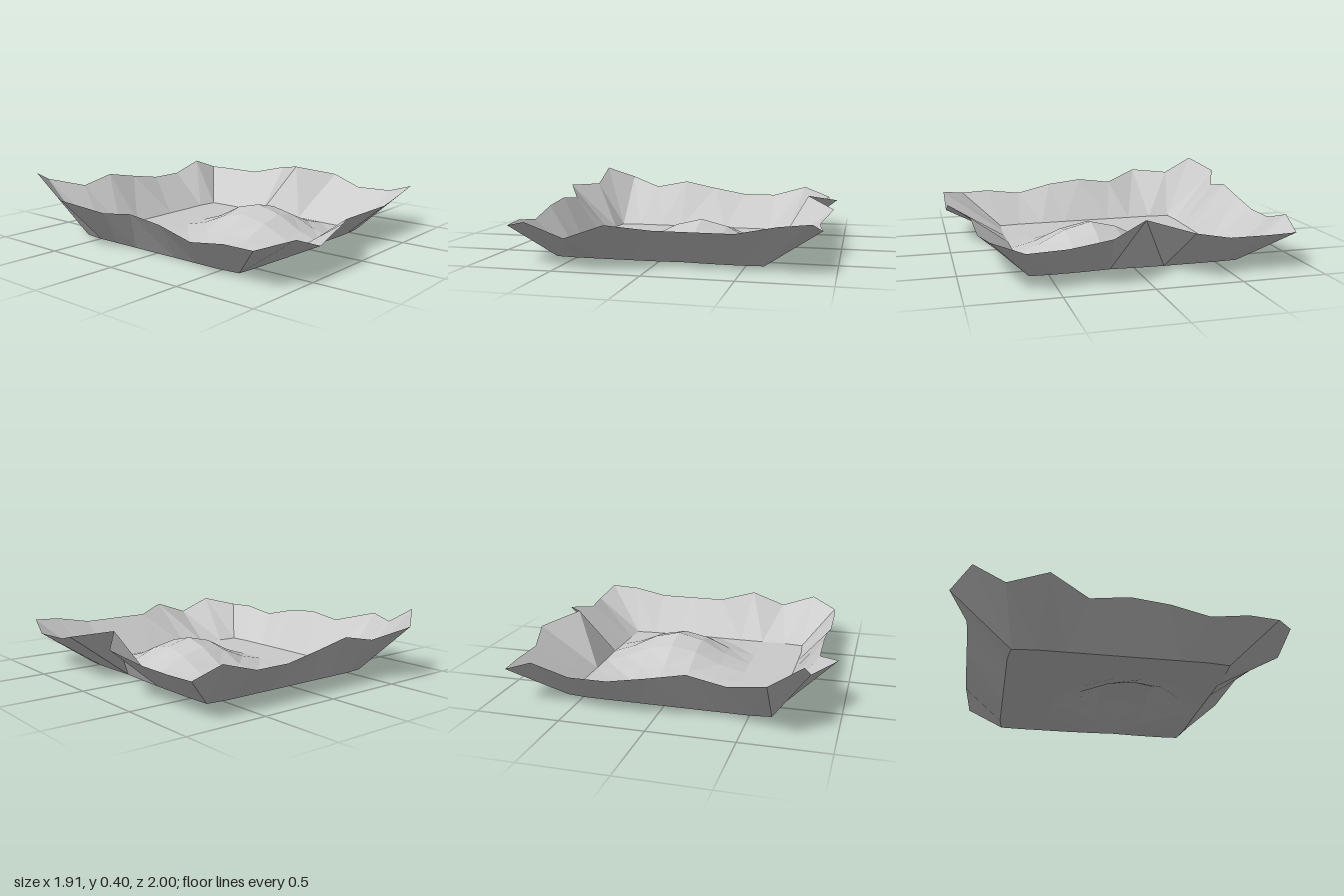
import * as THREE from 'three';

const N = 8; // cells along each side
const material = new THREE.MeshStandardMaterial({
  color: 0xcccccc, flatShading: true, side: THREE.DoubleSide, roughness: 0.9,
});

// Floor grid lines; lines between the corners bow out slightly at the edges
const gridX = [-0.625, -0.5, -0.34, -0.18, -0.015, 0.145, 0.305, 0.47, 0.6];
const gridZ = [-0.64, -0.5, -0.34, -0.18, -0.015, 0.145, 0.31, 0.475, 0.61];
const mound = { x: 0.145, z: 0.145, height: 0.18, radius: 0.52 };

function floorPoint(i, j) {
  let x = gridX[i], z = gridZ[j];
  if (j > 0 && j < N) x += i === 0 ? -0.015 : i === N ? 0.007 : 0;
  if (i > 0 && i < N) z += j === 0 ? -0.015 : j === N ? 0.012 : 0;
  const r = Math.hypot(x - mound.x, z - mound.z) / mound.radius;
  const y = r < 1 ? mound.height * (0.5 + 0.5 * Math.cos(Math.PI * r)) : 0;
  return [x, y, z];
}

// Rim of each side: [outward position, height] between the corners
const rim = {
  back: [[-1, 0.325], [-0.9, 0.26], [-0.9, 0.305], [-0.9, 0.26], [-0.9, 0.22], [-0.9, 0.22], [-0.9, 0.285]],
  front: [[0.995, 0.26], [0.995, 0.18], [0.995, 0.26], [0.875, 0.22], [0.875, 0.22], [0.875, 0.22], [0.875, 0.265]],
  left: [[0.89, 0.22], [0.89, 0.22], [0.955, 0.275], [0.79, 0.325], [0.955, 0.275], [0.89, 0.22], [0.92, 0.22]],
  right: [[-0.835, 0.295], [-0.96, 0.305], [-0.835, 0.24], [-0.835, 0.27], [-0.835, 0.245], [-0.835, 0.19], [-0.835, 0.22]],
};
const corners = {
  backRight: [-0.82, 0.4, -0.88], backLeft: [0.875, 0.22, -0.875],
  frontRight: [-0.82, 0.215, 0.855], frontLeft: [0.875, 0.28, 0.85],
};

function surface(name, triangles) {
  const geometry = new THREE.BufferGeometry();
  geometry.setAttribute('position', new THREE.Float32BufferAttribute(triangles.flat(2), 3));
  geometry.computeVertexNormals();
  const mesh = new THREE.Mesh(geometry, material);
  mesh.name = name;
  return mesh;
}

// Floor with a soft mound; diagonals run around the mound
function createFloor() {
  const triangles = [];
  for (let i = 0; i < N; i++) {
    for (let j = 0; j < N; j++) {
      const a = floorPoint(i, j), b = floorPoint(i, j + 1);
      const c = floorPoint(i + 1, j + 1), d = floorPoint(i + 1, j);
      if ((i < 5) === (j < 5)) triangles.push([a, b, d], [b, c, d]);
      else triangles.push([a, b, c], [a, c, d]);
    }
  }
  return surface('floor', triangles);
}

// Sloping wall from a floor edge to its uneven rim; diagonals mirror about the middle
function createWall(name, bottom, top, flip) {
  const triangles = [];
  for (let k = 0; k < N; k++) {
    const a = bottom(k), b = bottom(k + 1), c = top(k + 1), d = top(k);
    const pair = k < N / 2 ? [[a, b, c], [a, c, d]] : [[a, b, d], [b, c, d]];
    triangles.push(...pair.map(([p, q, r]) => (flip ? [p, r, q] : [p, q, r])));
  }
  return surface(name, triangles);
}

// Rim point k along a side that runs in x or in z
function rimPoint(points, start, end, alongX) {
  return (k) => {
    if (k === 0) return start;
    if (k === N) return end;
    const [out, y] = points[k - 1];
    return alongX ? [0.025 + 0.225 * (k - 4), y, out] : [out, y, -0.01 + 0.228 * (k - 4)];
  };
}

export function createModel() {
  const group = new THREE.Group();
  group.name = 'tray';
  const { backRight, backLeft, frontRight, frontLeft } = corners;
  group.add(
    createFloor(),
    createWall('backWall', (k) => floorPoint(k, 0), rimPoint(rim.back, backRight, backLeft, true), false),
    createWall('frontWall', (k) => floorPoint(k, N), rimPoint(rim.front, frontRight, frontLeft, true), true),
    createWall('leftWall', (k) => floorPoint(N, k), rimPoint(rim.left, backLeft, frontLeft, false), false),
    createWall('rightWall', (k) => floorPoint(0, k), rimPoint(rim.right, backRight, frontRight, false), true),
  );
  return group;
}
